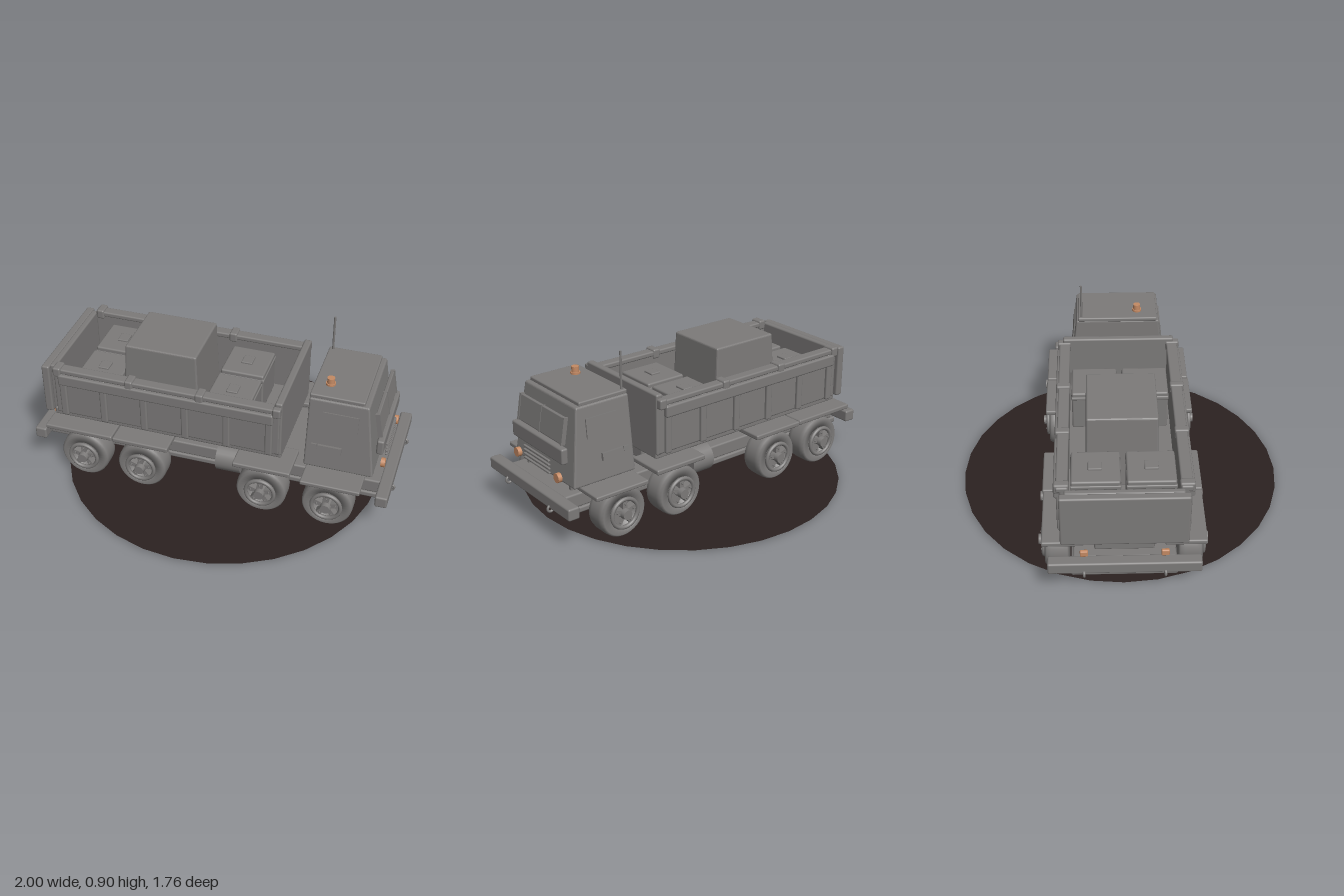
import * as THREE from 'three';
import { RoundedBoxGeometry } from 'three/addons/geometries/RoundedBoxGeometry.js';

const mat = (name, color, side = THREE.FrontSide) => {
  const m = new THREE.MeshStandardMaterial({ color, side });
  m.name = name;
  return m;
};

export function createModel() {
  const grey = mat('body grey', 0x7c7a79);
  const amber = mat('lamp amber', 0xc48a64);
  const dark = mat('ground dark', 0x2b2120, THREE.DoubleSide);
  const truck = new THREE.Group();
  truck.name = 'truck';

  const add = (name, geometry, x, y, z, material = grey, parent = truck) => {
    const mesh = new THREE.Mesh(geometry, material);
    mesh.name = name;
    mesh.position.set(x, y, z);
    parent.add(mesh);
    return mesh;
  };
  // Softly bevelled box given by its limits on each axis
  const block = (name, [x0, x1], [y0, y1], [z0, z1], material = grey) => {
    const w = x1 - x0, h = y1 - y0, d = z1 - z0;
    const r = Math.min(0.01, Math.min(w, h, d) * 0.3);
    return add(name, new RoundedBoxGeometry(w, h, d, 2, r), (x0 + x1) / 2, (y0 + y1) / 2, (z0 + z1) / 2, material);
  };
  // Pulls the vertices of a block inward towards its top
  const taper = (mesh, back, front, side) => {
    const g = mesh.geometry, p = g.attributes.position;
    g.computeBoundingBox();
    const { min, max } = g.boundingBox;
    for (let i = 0; i < p.count; i++) {
      const t = (p.getY(i) - min.y) / (max.y - min.y);
      const x = p.getX(i);
      const u = (x - min.x) / (max.x - min.x);
      p.setX(i, x + t * (back * (1 - u) - front * u));
      p.setZ(i, p.getZ(i) * (1 - t * side / max.z));
    }
    g.computeVertexNormals();
    return mesh;
  };
  const rod = (name, r, len, x, y, z, axis, material = grey, n = 20) => {
    const g = new THREE.CylinderGeometry(r, r, len, n);
    if (axis === 'x') g.rotateZ(Math.PI / 2);
    if (axis === 'z') g.rotateX(Math.PI / 2);
    return add(name, g, x, y, z, material);
  };

  // Ground disc
  const disc = new THREE.CircleGeometry(0.88, 32);
  disc.rotateX(-Math.PI / 2);
  add('groundDisc', disc, 0, 0.008, 0, dark);

  // Wheels, built facing +z then turned for the other side
  const profile = [[0.03, 0.02], [0.075, 0.02], [0.08, 0.055], [0.122, 0.063], [0.133, 0.052], [0.136, 0.03],
    [0.136, -0.03], [0.133, -0.052], [0.122, -0.063], [0.03, -0.063]].map(p => new THREE.Vector2(...p)).reverse();
  const tyre = new THREE.LatheGeometry(profile, 36);
  tyre.rotateX(Math.PI / 2);
  const rim = new THREE.TorusGeometry(0.077, 0.011, 8, 32);
  const hub = new THREE.CylinderGeometry(0.026, 0.034, 0.075, 16);
  hub.rotateX(Math.PI / 2);
  const spoke = new THREE.BoxGeometry(0.05, 0.026, 0.04);
  const bolt = new THREE.CylinderGeometry(0.005, 0.005, 0.016, 6);
  bolt.rotateX(Math.PI / 2);
  const wheelX = [-0.687, -0.355, 0.318, 0.676];
  for (const x of wheelX) for (const s of [1, -1]) {
    const wheel = new THREE.Group();
    wheel.name = 'wheel';
    wheel.position.set(x, 0.138, s * 0.337);
    if (s < 0) wheel.rotation.y = Math.PI;
    truck.add(wheel);
    add('tyre', tyre, 0, 0, 0, grey, wheel);
    add('rim', rim, 0, 0, 0.07, grey, wheel);
    add('hub', hub, 0, 0, 0.06, grey, wheel);
    for (let i = 0; i < 5; i++) {
      const a = Math.PI / 2 + i * Math.PI * 0.4;
      add('spoke', spoke, Math.cos(a) * 0.05, Math.sin(a) * 0.05, 0.052, grey, wheel).rotation.z = a;
      add('bolt', bolt, Math.cos(a) * 0.052, Math.sin(a) * 0.052, 0.077, grey, wheel);
    }
  }
  for (const x of wheelX) rod('axle', 0.025, 0.56, x, 0.145, 0, 'z');

  // Chassis and bumpers
  block('chassisFrame', [-0.95, 0.94], [0.135, 0.168], [-0.265, 0.265]);
  block('chassisDeck', [-0.93, 0.93], [0.165, 0.242], [-0.255, 0.255]);
  for (const s of [1, -1]) {
    block('bumper', s > 0 ? [0.92, 0.985] : [-0.985, -0.92], [0.18, 0.245], [-0.38, 0.38]);
    for (const z of [-0.2, 0.2]) {
      const hook = new THREE.TorusGeometry(0.016, 0.007, 8, 16);
      add('towHook', hook, s * 0.977, 0.178, z);
      block('cabMount', [0.6, 0.86], [0.235, 0.29], [z - 0.012, z + 0.012]);
    }
    // Side tank and tipping ram
    rod('tank', 0.076, 0.135, 0.118, 0.222, s * 0.27, 'x', grey, 24);
    const ram = rod('tippingRam', 0.024, 0.36, -0.12, 0.256, s * 0.16, 'x');
    ram.rotation.z = 0.17;
    // Mudguards
    const z = s > 0 ? [0.2, 0.415] : [-0.415, -0.2];
    block('mudguard', [-0.9, -0.515], [0.282, 0.31], s > 0 ? [0.2, 0.41] : [-0.41, -0.2]);
    block('mudguard', [-0.51, -0.195], [0.282, 0.31], z);
    block('mudguard', [0.165, 0.475], [0.282, 0.31], z);
    block('mudguard', [0.53, 0.845], [0.255, 0.28], z);
  }

  // Cargo bed
  block('bedSubframe', [-0.88, 0.38], [0.24, 0.312], [-0.15, 0.15]);
  block('bedFloor', [-0.89, 0.4], [0.306, 0.35], [-0.3, 0.3]);
  block('bedFrontWall', [0.36, 0.4], [0.33, 0.665], [-0.31, 0.31]);
  block('tailgate', [-0.94, -0.895], [0.33, 0.625], [-0.315, 0.315]);
  block('bedRearWall', [-0.9, -0.865], [0.32, 0.625], [-0.29, 0.29]);
  for (const s of [1, -1]) {
    const span = (a, b) => s > 0 ? [a, b] : [-b, -a];
    block('bedSide', [-0.87, 0.39], [0.335, 0.625], span(0.275, 0.313));
    block('bedTopRail', [-0.87, 0.395], [0.605, 0.635], span(0.27, 0.33));
    block('bedSideRail', [-0.835, 0.36], [0.54, 0.605], span(0.31, 0.343));
    for (let i = 0; i < 6; i++) {
      const x = -0.815 + i * 0.23;
      block('bedRib', [x - 0.02, x + 0.02], [0.335, 0.61], span(0.3, 0.33));
    }
    for (const x of [-0.84, -0.43, -0.04, 0.375])
      block('stakeClip', [x - 0.022, x + 0.022], [0.59, 0.645], span(0.265, 0.34));
    // Crates with lid plates
    for (const x of [-0.64, 0.088]) {
      block('crate', [x - 0.12, x + 0.12], [0.345, 0.575], span(0.015, 0.26));
      block('crateBand', [x - 0.125, x + 0.125], [0.53, 0.552], span(0.012, 0.263));
      block('crateLid', [x - 0.03, x + 0.03], [0.57, 0.585], span(0.105, 0.175));
    }
  }
  taper(block('cargoCase', [-0.525, -0.09], [0.345, 0.76], [-0.19, 0.19]), 0.025, 0.015, 0.01);

  // Cab
  taper(block('cab', [0.515, 0.885], [0.28, 0.685], [-0.28, 0.28]), 0.005, 0.055, 0.045);
  block('cabRoof', [0.518, 0.805], [0.68, 0.705], [-0.225, 0.225]);
  const glass = add('windscreen', new RoundedBoxGeometry(0.02, 0.138, 0.4, 2, 0.005), 0.88, 0.567, 0);
  glass.rotation.z = 0.17;
  for (const z of [-0.2, 0, 0.2]) {
    const bar = add('windscreenBar', new THREE.BoxGeometry(0.024, 0.142, z ? 0.014 : 0.006), 0.881, 0.567, z);
    bar.rotation.z = 0.17;
  }
  block('frontPanel', [0.882, 0.92], [0.405, 0.49], [-0.235, 0.235]);
  for (let i = 0; i < 4; i++)
    block('grilleBar', [0.915, 0.928], [0.318 + i * 0.022, 0.328 + i * 0.022], [-0.12, 0.12]);
  for (const s of [1, -1]) {
    // Plates lying on the sloping doors
    const doorPlate = (name, w, h, x, y, depth) => {
      const z = 0.28 - 0.045 * (y - 0.28) / 0.405;
      add(name, new THREE.BoxGeometry(w, h, depth), x, y, s * z).rotation.x = -s * 0.11;
    };
    doorPlate('doorWindow', 0.185, 0.105, 0.692, 0.568, 0.014);
    doorPlate('doorPanel', 0.125, 0.04, 0.648, 0.405, 0.03);
    doorPlate('doorHandle', 0.03, 0.025, 0.565, 0.412, 0.02);
    rod('headlight', 0.025, 0.022, 0.92, 0.325, s * 0.19, 'x', amber);
    block('rearLamp', [-0.94, -0.92], [0.25, 0.285], [s * 0.2 - 0.02, s * 0.2 + 0.02], amber);
  }
  rod('beaconBase', 0.026, 0.01, 0.602, 0.71, 0.113, 'y', amber);
  rod('beacon', 0.02, 0.04, 0.602, 0.725, 0.113, 'y', amber);
  rod('antenna', 0.006, 0.225, 0.54, 0.793, -0.205, 'y', grey, 8);

  return truck;
}
